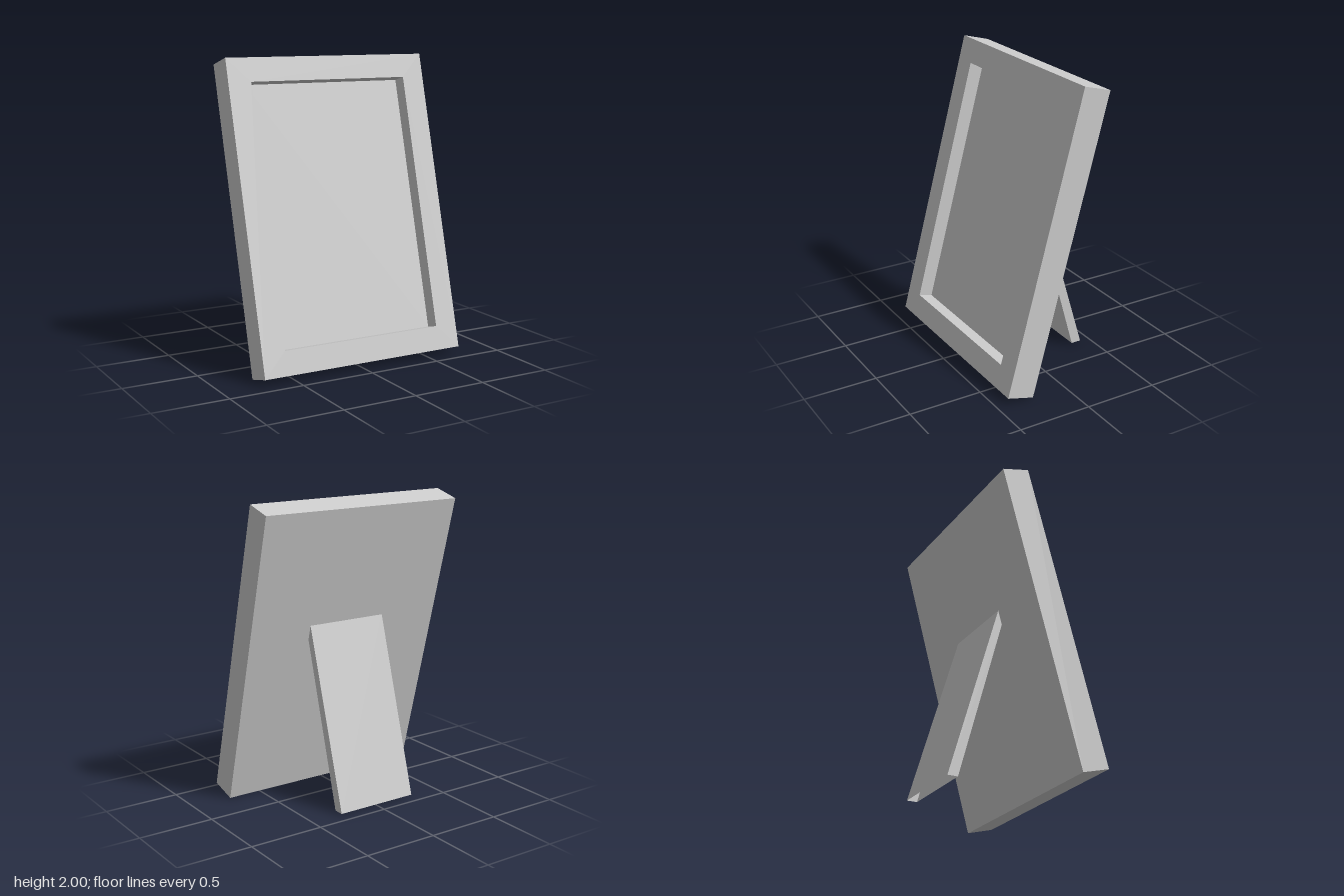
import * as THREE from 'three';

const W = 1.456, H = 2.019, D = 0.19; // frame slab
const BORDER = 0.158, RECESS = 0.098;
const TILT = THREE.MathUtils.degToRad(15);

const solid = new THREE.MeshStandardMaterial({ color: 0xcccccc });
const open = new THREE.MeshStandardMaterial({ color: 0xcccccc, side: THREE.DoubleSide });

// Box without the listed sides (0 +x, 1 -x, 2 +y, 3 -y, 4 +z, 5 -z)
function openBox(w, h, d, missing) {
  const g = new THREE.BoxGeometry(w, h, d);
  const index = Array.from(g.index.array);
  g.setIndex(index.filter((_, i) => !missing.includes(Math.floor(i / 6))));
  g.clearGroups();
  return g;
}

function rectangle(w, h, Type) {
  return new Type([[-1, -1], [1, -1], [1, 1], [-1, 1]]
    .map(([x, y]) => new THREE.Vector2(x * w / 2, y * h / 2)));
}

function part(name, geometry, material) {
  const mesh = new THREE.Mesh(geometry, material);
  mesh.name = name;
  return mesh;
}

export function createModel() {
  const model = new THREE.Group();
  model.name = 'pictureFrame';

  // Leaning slab with a recessed picture panel
  const frame = new THREE.Group();
  frame.name = 'frame';
  const w = W - 2 * BORDER, h = H - 2 * BORDER;
  const body = part('frameBody', openBox(W, H, D, [4]), solid);

  const ring = rectangle(W, H, THREE.Shape);
  ring.holes.push(rectangle(w, h, THREE.Path));
  const border = part('frontBorder', new THREE.ShapeGeometry(ring), solid);
  border.position.z = D / 2;

  const recess = part('pictureRecess', openBox(w, h, RECESS, [4]), open);
  recess.position.z = (D - RECESS) / 2;

  frame.add(body, border, recess);
  frame.rotation.x = -TILT;
  frame.position.set(0, 1, 0.0725);
  model.add(frame);

  // Hollow easel leg: open underneath, top ends just inside the frame's back
  let leg = openBox(0.57, 1, 1, [2, 3]);
  const p = leg.attributes.position;
  for (let i = 0; i < p.count; i++) {
    const top = p.getY(i) > 0, front = p.getZ(i) > 0;
    p.setY(i, top ? (front ? 1.105 : 1.2) : 0.01);
    p.setZ(i, top ? (front ? -0.045 : -0.071) : (front ? -0.354 : -0.424));
  }
  leg = leg.toNonIndexed();
  leg.computeVertexNormals();
  model.add(part('easelLeg', leg, open));

  return model;
}
